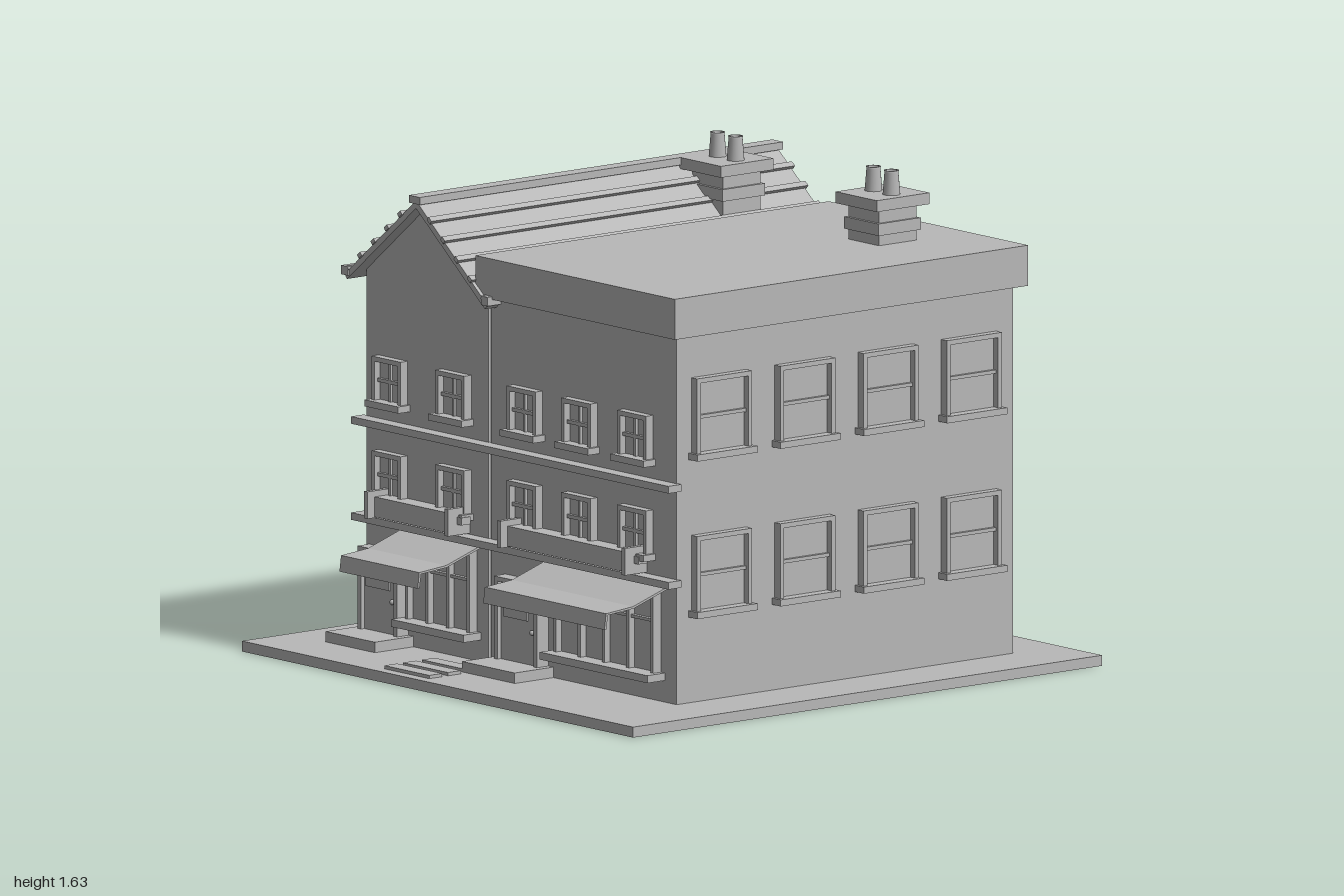
import * as THREE from 'three';

const stone = new THREE.MeshStandardMaterial({ color: 0xb8b8b8 });
stone.name = 'plainGrey';
const stoneSheet = new THREE.MeshStandardMaterial({ color: 0xb8b8b8, side: THREE.DoubleSide });
stoneSheet.name = 'plainGreySheet';

// box given by its limits on each axis
function box(parent, name, x0, x1, y0, y1, z0, z1) {
  const m = new THREE.Mesh(new THREE.BoxGeometry(x1 - x0, y1 - y0, z1 - z0), stone);
  m.position.set((x0 + x1) / 2, (y0 + y1) / 2, (z0 + z1) / 2);
  m.name = name;
  parent.add(m);
  return m;
}

function group(parent, name) {
  const g = new THREE.Group();
  g.name = name;
  parent.add(g);
  return g;
}

// framed sash window on the plane z = 0, with its sill at y = 0
function sashWindow(parent, name, w, h, sillOver, sillDepth, cross) {
  const g = group(parent, name);
  const a = w / 2, t = 0.016, d = 0.03;
  box(g, 'sill', -a - sillOver, a + sillOver, 0, 0.022, -0.005, sillDepth);
  box(g, 'frameLeft', a - t, a, 0.022, h, -0.005, d);
  box(g, 'frameRight', -a, -a + t, 0.022, h, -0.005, d);
  box(g, 'frameTop', -a + t, a - t, h - t, h, -0.005, d);
  box(g, 'glass', -a + t, a - t, 0.022, h - t, -0.005, 0.006);
  const mid = (h + 0.01) / 2;
  box(g, 'meetingRail', -a + t, a - t, mid - 0.006, mid + 0.006, 0, 0.018);
  if (cross) box(g, 'glazingBar', -0.005, 0.005, 0.022, h - t, 0, 0.016);
  return g;
}

function door(parent, x0, x1) {
  const g = group(parent, 'door');
  const z = 0.63, t = 0.018;
  box(g, 'doorStep', x0 - 0.025, x1 + 0.025, 0.035, 0.07, z, 0.8);
  box(g, 'jambRight', x0, x0 + t, 0.07, 0.345, z, 0.685);
  box(g, 'jambLeft', x1 - t, x1, 0.07, 0.345, z, 0.685);
  box(g, 'lintel', x0 + t, x1 - t, 0.33, 0.345, z, 0.685);
  box(g, 'doorLeaf', x0 + t, x1 - t, 0.07, 0.33, z, 0.67);
  const c = (x0 + x1) / 2 - 0.01;
  box(g, 'doorPane', c - 0.06, c + 0.06, 0.215, 0.28, 0.67, 0.677);
  const knob = new THREE.Mesh(new THREE.SphereGeometry(0.009, 12, 8), stone);
  knob.position.set(x1 - 0.034, 0.18, 0.677);
  knob.name = 'doorKnob';
  g.add(knob);
}

function shopWindow(parent, x0, x1, panes) {
  const g = group(parent, 'shopWindow');
  const t = 0.014;
  box(g, 'sill', x0 - 0.02, x1 + 0.02, 0.107, 0.132, 0.63, 0.71);
  box(g, 'glass', x0, x1, 0.132, 0.4, 0.63, 0.645);
  box(g, 'topRail', x0, x1, 0.39, 0.41, 0.63, 0.67);
  box(g, 'transom', x0, x1, 0.3, 0.31, 0.63, 0.66);
  for (let i = 0; i <= panes; i++) {
    const x = x0 + (x1 - x0 - t) * i / panes;
    box(g, 'mullion', x, x + t, 0.132, 0.4, 0.63, 0.668);
  }
}

// thin folded awning, profile as z,y
function awning(parent, x0, x1) {
  const top = [[0.635, 0.432], [0.80, 0.378], [0.915, 0.368], [0.922, 0.315]];
  const under = [[0.914, 0.315], [0.907, 0.362], [0.797, 0.371], [0.635, 0.424]];
  const s = new THREE.Shape(top.concat(under).map(p => new THREE.Vector2(-p[0], p[1])));
  const geo = new THREE.ExtrudeGeometry(s, { depth: x1 - x0, bevelEnabled: false });
  geo.rotateY(Math.PI / 2);
  const m = new THREE.Mesh(geo, stoneSheet);
  m.position.x = x0;
  m.name = 'awning';
  parent.add(m);
}

function signBoard(parent, x0, x1) {
  const g = group(parent, 'signBoard');
  box(g, 'board', x0, x1, 0.458, 0.525, 0.635, 0.7);
  for (const [x, out] of [[x0, -1], [x1, 1]]) {
    box(g, 'endPost', x - 0.009, x + 0.009, 0.455, 0.545, 0.635, 0.73);
    const n = x + out * 0.03;
    box(g, 'endBracket', Math.min(x, n), Math.max(x, n), 0.49, 0.515, 0.65, 0.69);
  }
}

function chimney(parent, x, base) {
  const g = group(parent, 'chimney');
  const z = -0.533;
  box(g, 'stack', x - 0.078, x + 0.078, base, 1.52, z - 0.08, z + 0.08);
  box(g, 'stackBand', x - 0.088, x + 0.088, 1.43, 1.47, z - 0.09, z + 0.09);
  box(g, 'cap', x - 0.106, x + 0.106, 1.515, 1.553, z - 0.112, z + 0.112);
  // hollow tapered pots
  const profile = [[0.029, 0], [0.023, 0.075], [0.025, 0.08], [0.019, 0.08], [0.018, 0.01], [0, 0.01]];
  for (const s of [-1, 1]) {
    const pot = new THREE.Mesh(
      new THREE.LatheGeometry(profile.map(p => new THREE.Vector2(p[0], p[1])), 20), stoneSheet);
    pot.position.set(x + s * 0.046, 1.553, z);
    pot.name = 'chimneyPot';
    g.add(pot);
  }
}

// pitched roof: two mirrored slopes with long ribs, ridge and gutters
function gableRoof(parent, cx) {
  const g = group(parent, 'gableRoof');
  const run = 0.37, rise = 0.3, len = Math.hypot(run, rise), angle = Math.atan2(rise, run);
  for (const s of [-1, 1]) {
    const slope = group(g, s < 0 ? 'rightSlope' : 'leftSlope');
    slope.position.set(cx, 1.548, 0);
    slope.rotation.z = -s * angle;
    const along = (name, a, b, y0, y1, z0, z1) =>
      box(slope, name, Math.min(s * a, s * b), Math.max(s * a, s * b), y0, y1, z0, z1);
    along('slab', 0, len, -0.028, -0.008, -0.85, 0.685);
    for (let i = 0; i < 5; i++) {
      const a = 0.09 + i * 0.088;
      along('rib', a, a + 0.02, -0.01, 0.004, -0.858, 0.692);
    }
    const e = cx + s * 0.358;
    box(g, 'gutter', e - 0.016, e + 0.016, 1.24, 1.27, -0.858, 0.692);
  }
  box(g, 'ridgeCap', cx - 0.028, cx + 0.028, 1.528, 1.553, -0.858, 0.692);
}

export function createModel() {
  const model = new THREE.Group();
  model.name = 'shopTerrace';
  box(model, 'ground', -1, 1, 0, 0.035, -1, 1);

  // gabled house on the model's right
  const outline = [[-0.8, 0.035], [-0.177, 0.035], [-0.177, 1.268], [-0.488, 1.522], [-0.8, 1.268]];
  const walls = new THREE.Mesh(new THREE.ExtrudeGeometry(
    new THREE.Shape(outline.map(p => new THREE.Vector2(p[0], p[1]))),
    { depth: 1.435, bevelEnabled: false }), stone);
  walls.position.z = -0.8;
  walls.name = 'gabledHouseWalls';
  model.add(walls);
  gableRoof(model, -0.488);

  // flat roofed house, set a narrow gap away
  box(model, 'flatHouseWalls', -0.165, 0.785, 0.035, 1.262, -0.8, 0.635);
  box(model, 'flatRoof', -0.2, 0.82, 1.26, 1.395, -0.835, 0.672);
  chimney(model, -0.36, 1.3);
  chimney(model, 0.437, 1.39);

  // string courses across the front
  for (const y of [0.747, 0.427]) box(model, 'stringCourse', -0.82, 0.803, y, y + 0.024, 0.63, 0.685);

  // front windows, two floors
  for (const x of [-0.665, -0.34, 0.025, 0.305, 0.59]) {
    for (const y of [0.815, 0.5]) {
      sashWindow(model, 'frontWindow', 0.15, 0.167, 0.011, 0.05, true).position.set(x, y, 0.635);
    }
  }

  // side windows, mirrored on both ends
  for (const s of [-1, 1]) {
    for (const z of [0.455, 0.1, -0.255, -0.61]) {
      for (const y of [0.845, 0.32]) {
        const w = sashWindow(model, 'sideWindow', 0.235, 0.272, 0.011, 0.045, false);
        w.position.set(s > 0 ? 0.785 : -0.8, y, z);
        w.rotation.y = s * Math.PI / 2;
      }
    }
  }

  // shop fronts
  door(model, -0.787, -0.585);
  shopWindow(model, -0.565, -0.235, 3);
  awning(model, -0.595, -0.195);
  signBoard(model, -0.69, -0.28);
  door(model, -0.09, 0.13);
  shopWindow(model, 0.195, 0.705, 4);
  awning(model, 0.14, 0.76);
  signBoard(model, -0.01, 0.625);

  // paving slabs in front of the gap
  for (const z of [0.745, 0.825, 0.905]) box(model, 'pavingSlab', -0.32, -0.09, 0.034, 0.046, z, z + 0.055);

  return model;
}
